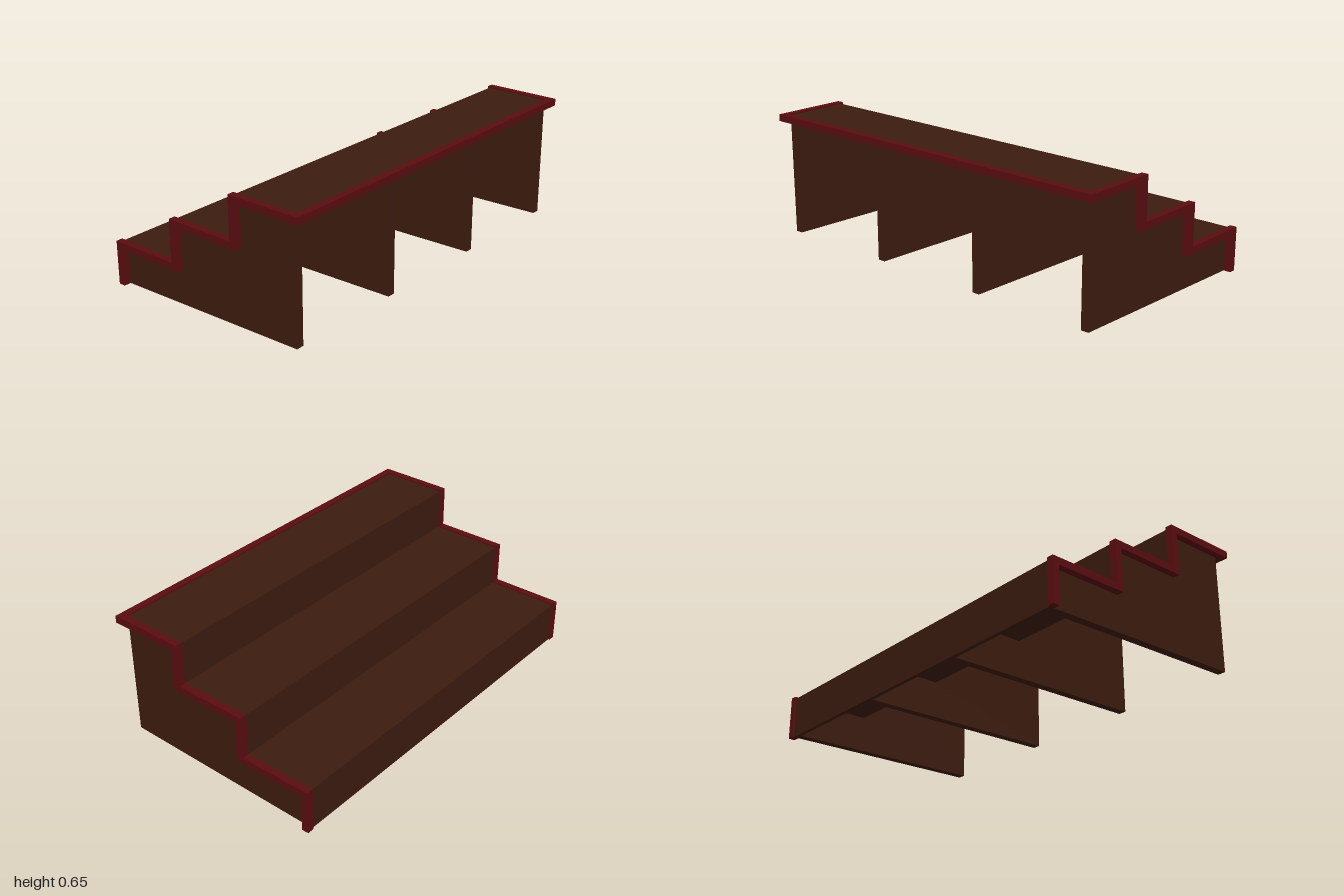
import * as THREE from 'three';

const brown = new THREE.MeshStandardMaterial({ color: 0x3d1c0f });
const red = new THREE.MeshStandardMaterial({ color: 0x5a0d10 });

const FRONT = [-0.57, -0.197, 0.177]; // riser positions
const TOP = [0.222, 0.437, 0.652];    // tread heights

// stair line from the foot to the back of the top tread, pushed inward by d
function stairLine(d, endX, footY = 0) {
  const pts = [[FRONT[0] + d, footY]];
  FRONT.forEach((x, i) => {
    pts.push([x + d, TOP[i] - d]);
    pts.push([i < 2 ? FRONT[i + 1] + d : endX, TOP[i] - d]);
  });
  return pts.map(([x, y]) => new THREE.Vector2(x, y));
}

// outline extruded along z between z0 and z1
function slab(name, points, z0, z1, material) {
  const geo = new THREE.ExtrudeGeometry(new THREE.Shape(points), { depth: z1 - z0, bevelEnabled: false });
  geo.translate(0, 0, z0);
  const mesh = new THREE.Mesh(geo, material);
  mesh.name = name;
  return mesh;
}

// stepped strip between two offsets of the stair line
const strip = (outer, inner, endX) => [...stairLine(outer, endX), ...stairLine(inner, endX).reverse()];

export function createModel() {
  const group = new THREE.Group();
  group.name = 'steppedRiser';

  // treads and risers, slightly recessed behind the trim
  group.add(slab('treadsAndRisers', strip(0.008, 0.028, 0.53), -0.965, 0.965, brown));

  // stepped trim along both ends
  const trim = strip(0, 0.035, 0.567);
  group.add(slab('leftTrim', trim, -1, -0.965, red));
  group.add(slab('rightTrim', trim, 0.965, 1, red));

  // trim along the back edge of the top tread
  const backTrim = new THREE.Mesh(new THREE.BoxGeometry(0.037, 0.035, 1.93), red);
  backTrim.name = 'backTrim';
  backTrim.position.set(0.5485, 0.6345, 0);
  group.add(backTrim);

  // four support panels with a slightly sloping underside
  const panel = [...stairLine(0.028, 0.522, 0.001), new THREE.Vector2(0.522, 0.024)];
  for (const z of [-0.945, -0.315, 0.315, 0.945]) {
    group.add(slab('supportPanel', panel, z - 0.02, z + 0.02, brown));
  }
  return group;
}
